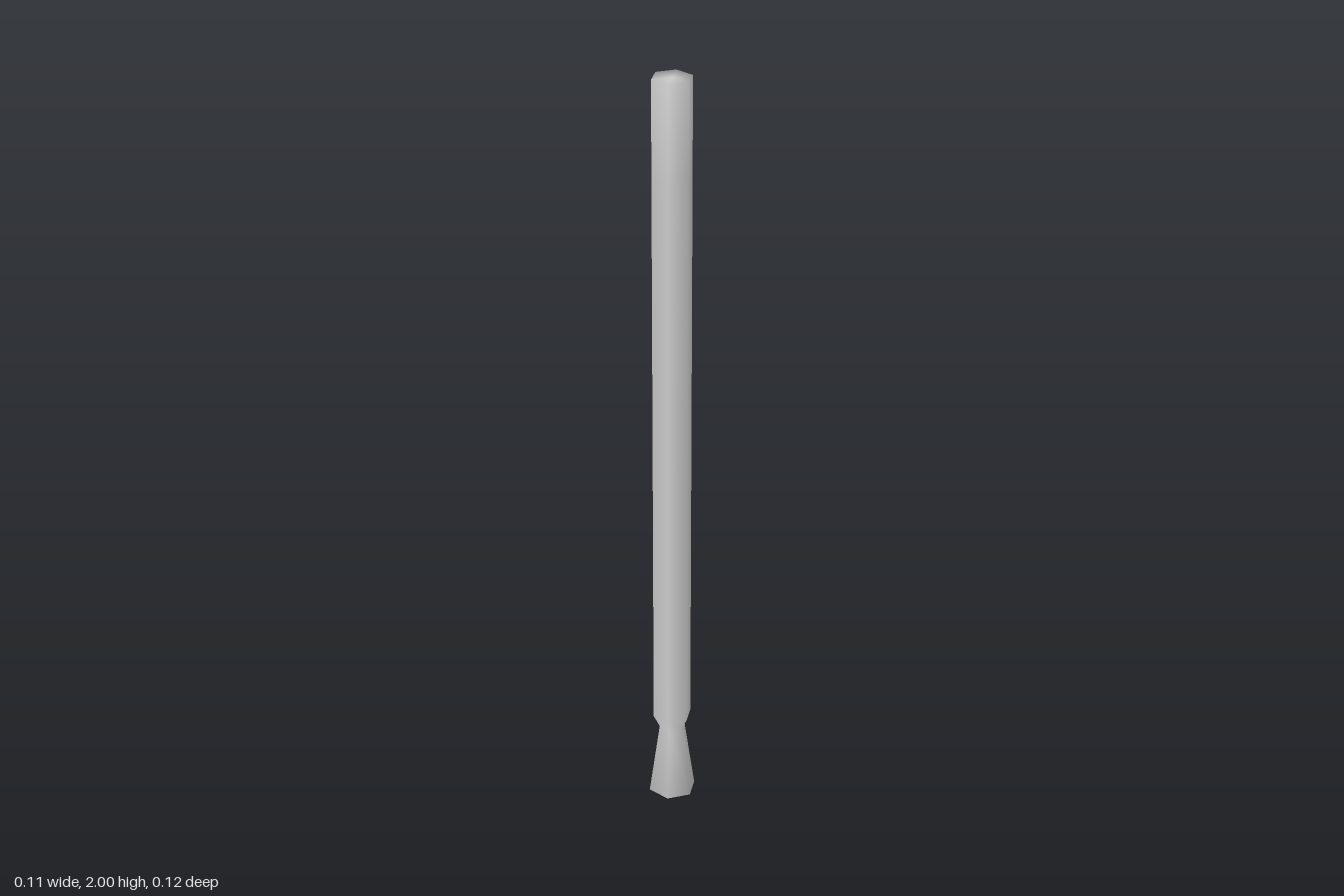
import * as THREE from 'three';

export function createModel() {
  const group = new THREE.Group();

  // Closed six-sided profile: flared foot, pinched neck, straight shaft
  const profile = [
    [0, 0], [0.0585, 0], // foot
    [0.032, 0.2], [0.0475, 0.235], // neck and shoulder
    [0.0475, 1.75], [0.0475, 2], [0, 2], // shaft and top
  ].map(([r, y]) => new THREE.Vector2(r, y));

  const geometry = new THREE.LatheGeometry(profile, 6);
  geometry.scale(1.06, 1, 1);

  const post = new THREE.Mesh(geometry, new THREE.MeshStandardMaterial({ color: 0xcccccc }));
  post.name = 'post';
  group.add(post);
  return group;
}
